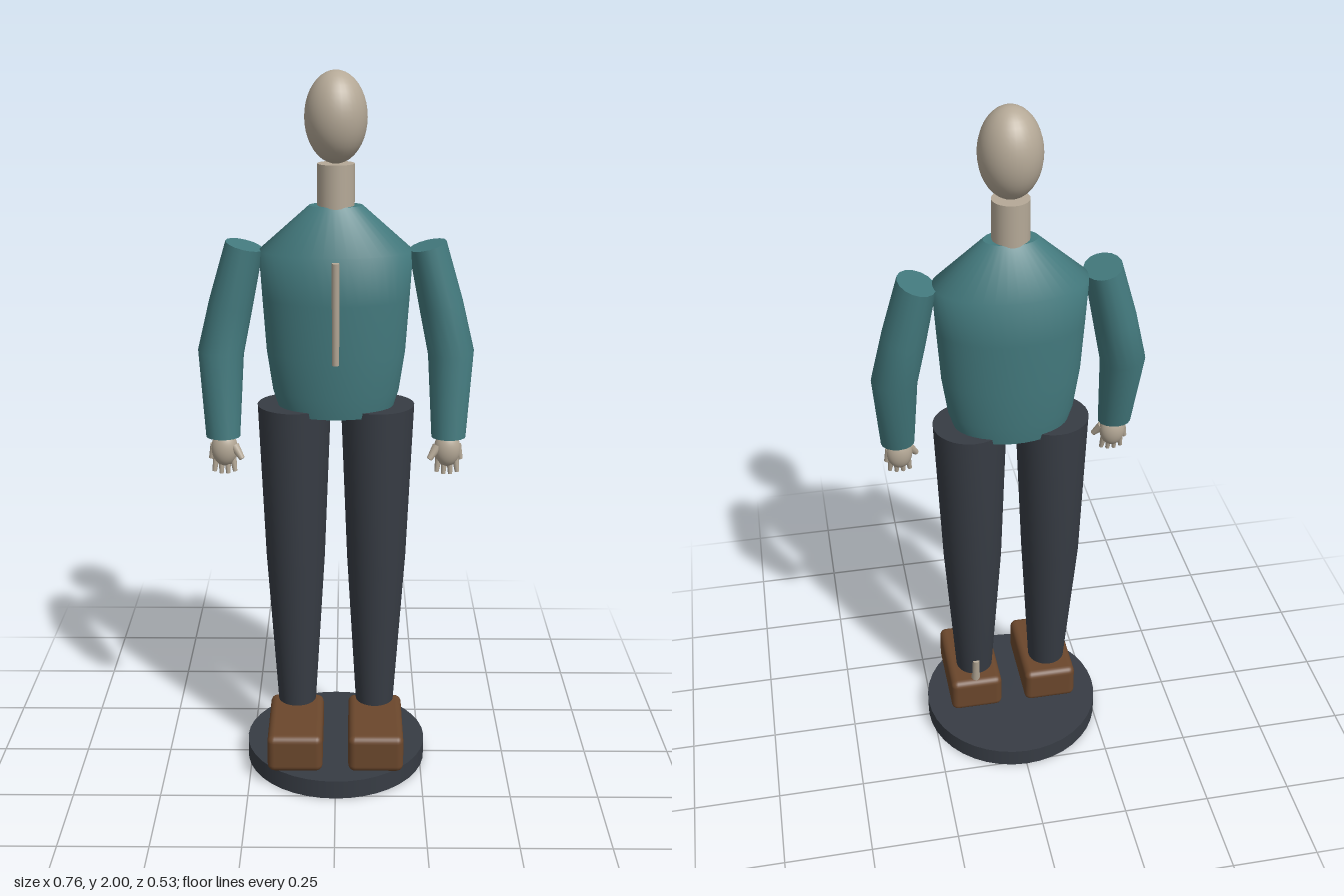
import * as THREE from 'three';
import { RoundedBoxGeometry } from 'three/addons/geometries/RoundedBoxGeometry.js';

const mat = (name, color) => Object.assign(new THREE.MeshStandardMaterial({ color }), { name });

// Closed tube through elliptical rings, listed top to bottom: [x, y, z, rx, rz, tilt]
function loft(rings, n = 24) {
  const pos = [], idx = [];
  const addRing = ([x, y, z, rx, rz, t = 0]) => {
    const start = pos.length / 3;
    for (let i = 0; i < n; i++) {
      const a = (i / n) * Math.PI * 2, u = Math.cos(a) * rx;
      pos.push(x + u * Math.cos(t), y + u * Math.sin(t), z + Math.sin(a) * rz);
    }
    return start;
  };
  const starts = rings.map(addRing);
  for (let k = 0; k < starts.length - 1; k++) {
    for (let i = 0; i < n; i++) {
      const j = (i + 1) % n, p = starts[k], q = starts[k + 1];
      idx.push(p + i, p + j, q + i, p + j, q + j, q + i);
    }
  }
  // End caps have their own vertices so the rims stay sharp
  [rings[0], rings[rings.length - 1]].forEach((ring, end) => {
    const s = addRing(ring), c = pos.length / 3;
    pos.push(ring[0], ring[1], ring[2]);
    for (let i = 0; i < n; i++) {
      const j = (i + 1) % n;
      if (end) idx.push(c, s + i, s + j);
      else idx.push(c, s + j, s + i);
    }
  });
  const g = new THREE.BufferGeometry();
  g.setAttribute('position', new THREE.Float32BufferAttribute(pos, 3));
  g.setIndex(idx);
  g.computeVertexNormals();
  return g;
}

// Tapered rod between two points
function rod(from, to, r0, r1) {
  const a = new THREE.Vector3(...from), b = new THREE.Vector3(...to);
  const d = b.clone().sub(a);
  const g = new THREE.CylinderGeometry(r1, r0, d.length(), 12);
  g.applyQuaternion(new THREE.Quaternion().setFromUnitVectors(new THREE.Vector3(0, 1, 0), d.normalize()));
  const m = a.add(b).multiplyScalar(0.5);
  return g.translate(m.x, m.y, m.z);
}

const ellipsoid = (x, y, z, rx, ry, rz) =>
  new THREE.SphereGeometry(1, 32, 20).scale(rx, ry, rz).translate(x, y, z);

export function createModel() {
  const model = new THREE.Group();
  model.name = 'standingFigure';
  const skin = mat('skin', 0xb5a997);
  const shirt = mat('tealShirt', 0x447b7f);
  const dark = mat('darkSlate', 0x373c44);
  const leather = mat('brownLeather', 0x6b472c);
  const add = (name, geometry, material, parent = model) => {
    const m = new THREE.Mesh(geometry, material);
    m.name = name;
    parent.add(m);
    return m;
  };

  // Base disc
  add('base', new THREE.CylinderGeometry(0.263, 0.263, 0.055, 40).translate(0, 0.0275, 0), dark);

  // Head and neck
  add('head', ellipsoid(0, 1.88, 0.004, 0.083, 0.12, 0.087), skin);
  add('neck', new THREE.CylinderGeometry(0.05, 0.05, 0.13, 24).translate(0, 1.695, 0), skin);

  // Torso and the strip down the chest
  add('torso', loft([
    [0, 1.65, 0, 0.072, 0.046], [0, 1.53, 0, 0.208, 0.131], [0, 1.4, 0, 0.2, 0.128],
    [0, 1.25, 0, 0.19, 0.12], [0, 1.14, 0, 0.174, 0.11], [0, 1.08, 0, 0.155, 0.1],
  ], 40), shirt);
  add('chestStrip', rod([0, 1.24, 0.117], [0, 1.52, 0.138], 0.01, 0.01), skin);

  for (const s of [1, -1]) {
    const side = s > 0 ? 'left' : 'right';

    // Sleeve, bent at the elbow
    const arm = new THREE.Group();
    arm.name = side + 'Arm';
    model.add(arm);
    add(side + 'Sleeve', loft([
      [s * 0.246, 1.543, 0.002, 0.052, 0.073, s * 0.25],
      [s * 0.286, 1.38, 0.006, 0.06, 0.07, s * 0.24],
      [s * 0.315, 1.25, 0.014, 0.063, 0.063, s * 0.1],
      [s * 0.311, 1.02, 0.055, 0.047, 0.04],
    ], 16), shirt, arm);

    // Hand with four fingers and a thumb
    add(side + 'Palm', ellipsoid(s * 0.308, 0.985, 0.058, 0.037, 0.05, 0.03), skin, arm);
    for (let i = 0; i < 4; i++) {
      const f = i - 1.5;
      const tip = 0.912 + Math.abs(f) * 0.006;
      add(side + 'Finger', rod([s * (0.308 + f * 0.015), 0.965, 0.06],
        [s * (0.308 + f * 0.019), tip, 0.066], 0.01, 0.006), skin, arm);
    }
    add(side + 'Thumb', rod([s * 0.28, 0.995, 0.066], [s * 0.258, 0.962, 0.08], 0.014, 0.008), skin, arm);
    add(side + 'HandEdge', rod([s * 0.335, 0.998, 0.058], [s * 0.345, 0.957, 0.06], 0.012, 0.007), skin, arm);

    // Trouser leg and shoe
    add(side + 'Leg', loft([
      [s * 0.116, 1.097, -0.002, 0.102, 0.103],
      [s * 0.116, 0.64, -0.006, 0.084, 0.093],
      [s * 0.114, 0.19, 0.014, 0.055, 0.056],
    ], 32), dark);
    add(side + 'Shoe', new RoundedBoxGeometry(0.158, 0.112, 0.272, 3, 0.02)
      .translate(s * 0.116, 0.109, 0.079), leather);
  }

  // Support peg behind the left ankle
  add('supportPeg', rod([0.117, 0.13, -0.027], [0.117, 0.25, -0.046], 0.014, 0.011), skin);

  return model;
}
